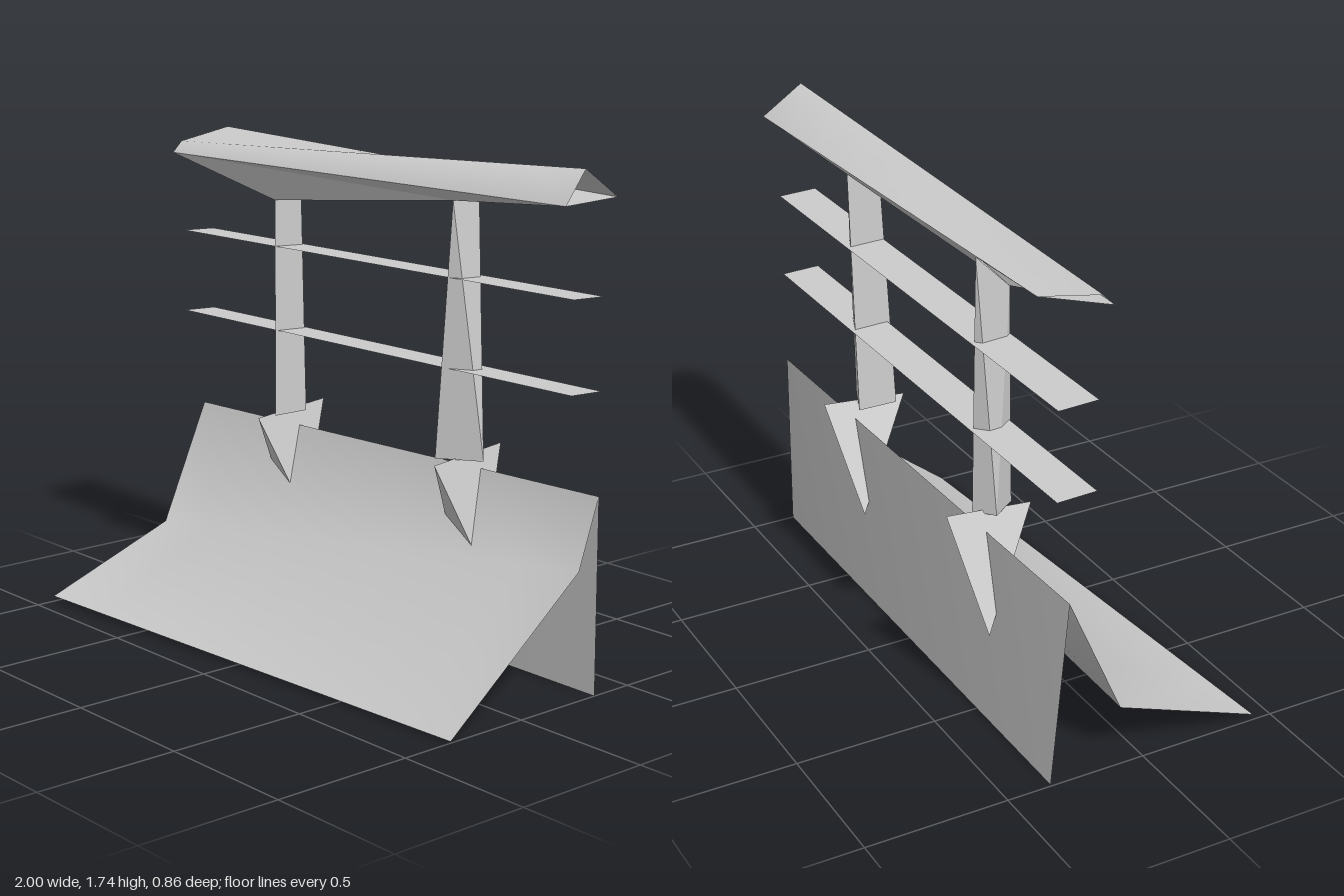
import * as THREE from 'three';

const mat = () => new THREE.MeshStandardMaterial({ color: 0xcccccc, side: THREE.DoubleSide });
const flatMat = () => new THREE.MeshStandardMaterial({ color: 0xcccccc, side: THREE.DoubleSide, flatShading: true });

// Ruled skin between a profile at the -x end and one at the +x end; points are [z, y]
function loft(name, start, end, steps = 8) {
  const pos = [], idx = [], n = start.length;
  for (let i = 0; i <= steps; i++) {
    const t = i / steps;
    for (let j = 0; j < n; j++) {
      pos.push(-1 + 2 * t,
        THREE.MathUtils.lerp(start[j][1], end[j][1], t),
        THREE.MathUtils.lerp(start[j][0], end[j][0], t));
    }
  }
  for (let i = 0; i < steps; i++) {
    for (let j = 0; j < n - 1; j++) {
      const a = i * n + j, b = a + n;
      idx.push(a, b, a + 1, a + 1, b, b + 1);
    }
  }
  const g = new THREE.BufferGeometry();
  g.setAttribute('position', new THREE.Float32BufferAttribute(pos, 3));
  g.setIndex(idx);
  g.computeVertexNormals();
  const m = new THREE.Mesh(g, mat());
  m.name = name;
  return m;
}

// Faceted solid from a few corners and faces (triangles or quads)
function facets(name, points, faces) {
  const pos = [];
  for (const f of faces) {
    for (let k = 1; k < f.length - 1; k++) {
      for (const i of [f[0], f[k], f[k + 1]]) pos.push(...points[i]);
    }
  }
  const g = new THREE.BufferGeometry();
  g.setAttribute('position', new THREE.Float32BufferAttribute(pos, 3));
  g.computeVertexNormals();
  const m = new THREE.Mesh(g, flatMat());
  m.name = name;
  return m;
}

// Wedge post: edge along z at the top, triangular foot
function post(name, topX, topFront, topBack, tipX, sideX) {
  return facets(name, [
    [topX, topFront, -0.2], [topX, topBack, -0.32],
    [sideX, 0.72, -0.175], [sideX, 0.72, -0.32], [tipX, 0.72, -0.265],
  ], [[0, 2, 4], [0, 4, 1], [1, 4, 3], [0, 1, 3, 2], [2, 3, 4]]);
}

// Twisted wedge that straddles the bank below each post
function bracket(name, x) {
  return facets(name, [
    [x + 0.005, 0.715, -0.115], [x, 0.745, -0.43],
    [x + 0.09, 0.345, -0.265], [x - 0.15, 0.355, -0.355],
  ], [[0, 3, 2], [0, 2, 1], [1, 2, 3], [0, 1, 3]]);
}

export function createModel() {
  const model = new THREE.Group();

  // Sloping bank: bent front and straight back meeting at a sharp crest
  model.add(loft('bankFront',
    [[0.43, 0.025], [-0.09, 0.22], [-0.285, 0.66]],
    [[0.31, 0.01], [-0.25, 0.445], [-0.335, 0.68]]));
  model.add(loft('bankBack',
    [[-0.285, 0.66], [-0.345, 0.01]],
    [[-0.335, 0.68], [-0.34, 0.005]]));

  // Thin rails
  for (const y of [1.03, 1.335]) {
    const edge = [[-0.195, y], [-0.335, y - 0.005]];
    model.add(loft('rail', edge, edge, 1));
  }

  // Top beam: ridged upper skin and flat underside
  model.add(loft('beamTop',
    [[-0.15, 1.63], [-0.19, 1.67], [-0.41, 1.71]],
    [[-0.15, 1.63], [-0.235, 1.74], [-0.385, 1.64]]));
  model.add(loft('beamUnderside',
    [[-0.41, 1.71], [-0.15, 1.63]],
    [[-0.385, 1.64], [-0.15, 1.63]]));

  // Belly under the beam, carried by the post heads
  model.add(facets('beamBelly', [
    [-1, 1.63, -0.15], [1, 1.63, -0.15], [0.45, 1.59, -0.2], [-0.465, 1.5, -0.2],
    [0.45, 1.59, -0.32], [-0.465, 1.62, -0.32], [1, 1.64, -0.385], [-1, 1.71, -0.41],
  ], [[0, 3, 2, 1], [3, 5, 4, 2], [5, 7, 6, 4]]));

  // Posts and their brackets
  model.add(post('rightPost', -0.465, 1.5, 1.62, -0.5, -0.435));
  model.add(post('leftPost', 0.45, 1.59, 1.59, 0.545, 0.405));
  model.add(bracket('rightBracket', -0.465));
  model.add(bracket('leftBracket', 0.46));

  return model;
}
